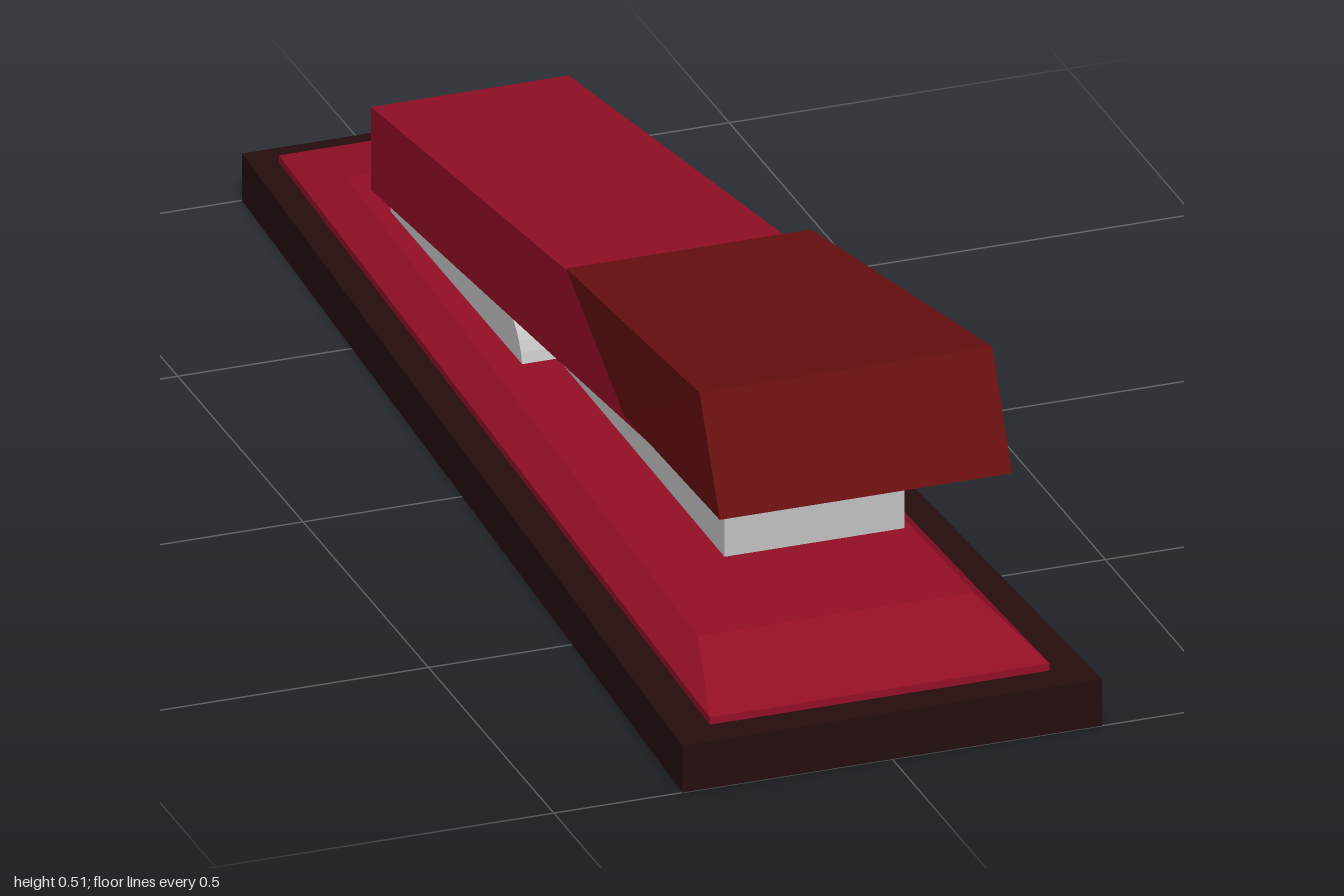
import * as THREE from 'three';

const flat = (name, color) => {
  const m = new THREE.MeshStandardMaterial({ color });
  m.name = name;
  return m;
};

// Six-sided tapered block. Each corner row is [halfWidth, y, z].
function taperedBlock(name, material, backLow, backHigh, frontLow, frontHigh) {
  const rows = [backLow, backHigh, frontLow, frontHigh];
  const corner = (row, side) => [rows[row][0] * side, rows[row][1], rows[row][2]];
  const R = -1, L = 1;
  const quads = [
    [[2, R], [2, L], [3, L], [3, R]], // front
    [[0, L], [0, R], [1, R], [1, L]], // back
    [[3, R], [3, L], [1, L], [1, R]], // top
    [[0, R], [0, L], [2, L], [2, R]], // bottom
    [[2, L], [0, L], [1, L], [3, L]], // left
    [[0, R], [2, R], [3, R], [1, R]], // right
  ];
  const pos = [];
  for (const q of quads)
    for (const i of [0, 1, 2, 0, 2, 3]) pos.push(...corner(...q[i]));
  const geo = new THREE.BufferGeometry();
  geo.setAttribute('position', new THREE.Float32BufferAttribute(pos, 3));
  geo.computeVertexNormals();
  const mesh = new THREE.Mesh(geo, material);
  mesh.name = name;
  return mesh;
}

export function createModel() {
  const group = new THREE.Group();
  group.name = 'stapler';
  const black = flat('darkBase', 0x240d0d);
  const red = flat('red', 0x940f26);
  const darkRed = flat('darkRed', 0x680f0f);
  const steel = flat('steel', 0xc2c2c2);

  // Foot and the bevelled plate on it
  group.add(
    taperedBlock('foot', black, [0.22, 0, -1], [0.22, 0.072, -1], [0.31, 0, 1], [0.31, 0.072, 1]),
    taperedBlock('plateRim', red, [0.182, 0.07, -0.955], [0.182, 0.083, -0.955], [0.251, 0.07, 0.95], [0.251, 0.083, 0.95]),
    taperedBlock('plateBevel', red, [0.182, 0.083, -0.955], [0.148, 0.122, -0.78], [0.251, 0.083, 0.95], [0.204, 0.122, 0.775]),
  );

  // Staple magazine, its top tucked into the arm
  group.add(taperedBlock('magazine', steel,
    [0.11, 0.174, -0.5], [0.11, 0.22, -0.5], [0.133, 0.194, 0.69], [0.133, 0.35, 0.69]));

  // Hinge block with a rounded front, extruded across the width
  const side = new THREE.Shape();
  side.moveTo(-0.655, 0.12);
  side.lineTo(-0.13, 0.12);
  side.quadraticCurveTo(-0.142, 0.175, -0.2, 0.187);
  side.lineTo(-0.655, 0.187);
  side.closePath();
  const hingeGeo = new THREE.ExtrudeGeometry(side, { depth: 0.256, bevelEnabled: false, curveSegments: 6 });
  hingeGeo.translate(0, 0, -0.128);
  hingeGeo.rotateY(-Math.PI / 2);
  const hinge = new THREE.Mesh(hingeGeo, steel);
  hinge.name = 'hinge';
  group.add(hinge);

  // Upper arm and the press cap over its front
  group.add(
    taperedBlock('arm', red, [0.146, 0.145, -0.685], [0.146, 0.272, -0.685], [0.174, 0.321, 0.82], [0.174, 0.49, 0.82]),
    taperedBlock('pressCap', darkRed, [0.181, 0.297, 0.42], [0.181, 0.42, 0.188], [0.216, 0.356, 0.895], [0.216, 0.515, 0.815]),
  );
  return group;
}
